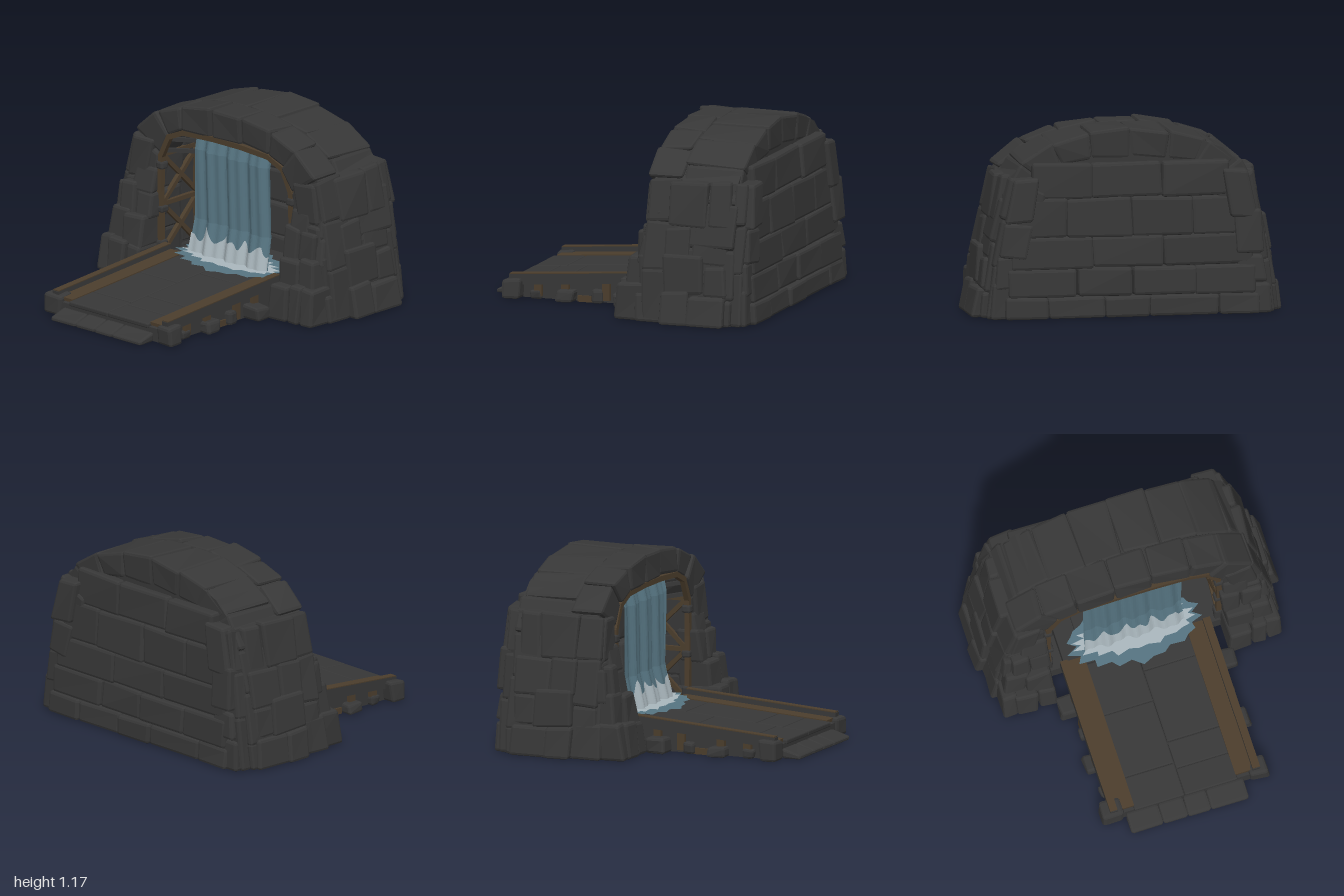
import * as THREE from 'three';
import { mergeGeometries } from 'three/addons/utils/BufferGeometryUtils.js';
import { RoundedBoxGeometry } from 'three/addons/geometries/RoundedBoxGeometry.js';

const material = (name, color) => Object.assign(new THREE.MeshStandardMaterial({ color }), { name });

export function createModel() {
  const model = new THREE.Group();
  const rock = material('dark rock', 0x373737);
  const wood = material('brown wood', 0x4b3d2c);
  const water = material('blue water', 0x557380);
  const foam = material('white foam', 0xa8b5bb);
  [water, foam].forEach(m => { m.side = THREE.DoubleSide; });

  let seed = 7;
  const rnd = (a = 0, b = 1) => {
    seed = (seed * 16807) % 2147483647;
    return a + (b - a) * seed / 2147483647;
  };
  const add = (name, geo, mat, parent = model) => {
    const mesh = new THREE.Mesh(geo, mat);
    mesh.name = name;
    parent.add(mesh);
    return mesh;
  };
  const box = (name, mat, x0, x1, y0, y1, z0, z1, parent) => {
    const geo = new THREE.BoxGeometry(x1 - x0, y1 - y0, z1 - z0);
    geo.translate((x0 + x1) / 2, (y0 + y1) / 2, (z0 + z1) / 2);
    return add(name, geo, mat, parent);
  };

  // A bevelled stone spanning eight slightly shaken corners, indexed x + 2y + 4z
  function stone(corners, shake = 0.012) {
    const c = corners.map(p => new THREE.Vector3(p[0] + rnd(-shake, shake),
      p[1] === 0 ? 0 : p[1] + rnd(-shake, shake), p[2] + rnd(-shake, shake)));
    const w = c[0].distanceTo(c[1]), h = c[0].distanceTo(c[2]), d = c[0].distanceTo(c[4]);
    const geo = new RoundedBoxGeometry(w, h, d, 1, Math.min(0.018, Math.min(w, h, d) * 0.25));
    const pos = geo.attributes.position, v = new THREE.Vector3();
    for (let i = 0; i < pos.count; i++) {
      const u = [pos.getX(i) / w + 0.5, pos.getY(i) / h + 0.5, pos.getZ(i) / d + 0.5];
      v.set(0, 0, 0);
      c.forEach((p, k) => v.addScaledVector(p,
        (k & 1 ? u[0] : 1 - u[0]) * (k & 2 ? u[1] : 1 - u[1]) * (k & 4 ? u[2] : 1 - u[2])));
      pos.setXYZ(i, v.x, v.y, v.z);
    }
    geo.computeVertexNormals();
    return geo;
  }
  // leanX and leanZ shift the top of the block
  const block = (x0, x1, y0, y1, z0, z1, shake, leanX = 0, leanZ = 0) => stone(
    [0, 1, 2, 3, 4, 5, 6, 7].map(k => [(k & 1 ? x1 : x0) + (k & 2 ? leanX : 0), k & 2 ? y1 : y0,
      (k & 4 ? z1 : z0) + (k & 2 ? leanZ : 0)]), shake);
  const stones = (name, list, parent) => add(name, mergeGeometries(list), rock, parent);

  // Arch section: pairs of inner and outer points from the right foot over to the left foot
  const half = [
    [0.57, 0, 0.94, 0], [0.575, 0.28, 0.9, 0.33], [0.575, 0.54, 0.85, 0.62], [0.565, 0.77, 0.785, 0.89],
    [0.49, 0.91, 0.6, 1.045], [0.36, 0.965, 0.38, 1.125], [0.12, 0.98, 0.13, 1.165]];
  const nodes = [...half, ...half.slice().reverse().map(([a, b, c, d]) => [-a, b, -c, d])];
  const last = nodes.length - 1;
  function section(t, across, narrow = 1) {
    const i = Math.min(Math.floor(t), last - 1), f = t - i;
    const n = nodes[i].map((q, k) => q + (nodes[i + 1][k] - q) * f);
    return [(n[0] + (n[2] - n[0]) * across) * narrow, n[1] + (n[3] - n[1]) * across];
  }
  const hexa = (t0, t1, a0, a1, z0, z1, narrow) => stone([0, 1, 2, 3, 4, 5, 6, 7].map(k =>
    [...section(k & 2 ? t1 : t0, k & 1 ? a1 : a0, narrow), k & 4 ? z1 : z0]));

  // Arch stones in three rows, front to back; the last row only on the legs
  const arch = [];
  const even = nodes.map((_, i) => i);
  const shifted = [0, ...even.slice(0, -1).map(i => i + 0.5), last];
  for (const [z0, z1, steps, narrow] of [
    [-0.44, -0.215, even, 1], [-0.81, -0.43, shifted, 1], [-0.87, -0.79, even, 0.97]]) {
    for (let i = 0; i < steps.length - 1; i++) {
      const low = steps[i] < 2.2 || steps[i] > last - 3.2;
      if (low) {
        const m = rnd(0.4, 0.6);
        arch.push(hexa(steps[i], steps[i + 1], 0, m, z0, z1, narrow));
        arch.push(hexa(steps[i], steps[i + 1], m, 1, z0, z1, narrow));
      } else if (z0 > -0.85)
        arch.push(hexa(steps[i], steps[i + 1], 0, 1, z0, z1 + rnd(-0.01, 0.01), narrow));
    }
  }
  stones('archStones', arch);

  // Solid core behind the stones, and the closed end of the tunnel
  const outline = even.map(t => new THREE.Vector2(...section(t, 0.88)));
  const inner = even.map(t => new THREE.Vector2(...section(t, 0.03))).reverse();
  const slab = (name, pts, z0, z1) => add(name,
    new THREE.ExtrudeGeometry(new THREE.Shape(pts), { depth: z1 - z0, bevelEnabled: false }).translate(0, 0, z0), rock);
  slab('archCore', [...outline, ...inner], -0.79, -0.25);
  slab('tunnelEnd', outline, -0.8, -0.62);
  box('tunnelFloor', rock, -0.6, 0.6, 0, 0.1, -0.82, -0.2);

  // Rough stones on the tunnel end
  const end = [];
  for (let r = 0; r < 4; r++) for (let i = 0; i < 4; i++) {
    const x = -0.54 + i * 0.27;
    end.push(block(x, x + 0.27, 0.1 + r * 0.21, 0.31 + r * 0.21, -0.66, -0.6 + rnd(0, 0.06)));
  }
  stones('tunnelEndStones', end);

  // Stacked stones around the feet: stepped at the front, bulging at the side
  const feet = [];
  for (const s of [1, -1]) {
    const mirrored = (a, b, y0, y1, z0, z1, leanX, leanZ) => feet.push(
      block(Math.min(s * a, s * b), Math.max(s * a, s * b), y0, y1, z0, z1, 0.012, -s * leanX, leanZ));
    const fronts = [[0, 0.21, -0.005], [0.21, 0.38, -0.07], [0.38, 0.54, -0.13], [0.54, 0.69, -0.175]];
    fronts.forEach(([y0, y1, z], r) => {
      const edges = r % 2 ? [0.57, 0.74, 0.9 - r * 0.02]
        : [0.56, 0.69 + rnd(-0.03, 0.03), 0.8 + rnd(-0.02, 0.02), 0.915 - r * 0.02];
      for (let i = 0; i < edges.length - 1; i++) {
        const outer = i === edges.length - 2;
        mirrored(edges[i], edges[i + 1], y0 && y0 - 0.02, y1 + rnd(-0.02, 0.03), -0.3,
          z - (outer ? 0.03 : 0) + rnd(-0.012, 0.012), outer ? 0.02 : 0, -0.025);
      }
    });
    const bulge = [0.895, 0.98, 0.99, 0.945];
    [[0, 0.21, 0, 0.03], [0.21, 0.4, 0.05, 0.02], [0.4, 0.62, 0.085, 0.035], [0.62, 0.88, 0.13, 0.05]].forEach(([y0, y1, inset, lean], r) => {
      const cuts = [-0.91, -0.77, r % 2 ? -0.62 : -0.53, -0.36, -0.17 - r * 0.012];
      for (let i = 0; i < 4; i++) {
        const out = bulge[i] - inset * (i ? 1 : 0.75) + rnd(-0.01, 0.01);
        mirrored(out - 0.17, out, y0 && y0 - 0.02, y1 + rnd(-0.04, 0.03), cuts[i], cuts[i + 1], lean, i ? 0 : 0.015);
      }
    });
  }
  stones('footStones', feet);

  // Masonry on the back, leaning inward as it rises
  const back = [];
  const rows = [[0, 0.13, 0.8, 5], [0.13, 0.31, 0.78, 4], [0.31, 0.5, 0.76, 3], [0.5, 0.74, 0.72, 4], [0.74, 0.96, 0.62, 3]];
  rows.forEach(([y0, y1, w, n], r) => {
    let x = -w;
    for (let i = 0; i < n; i++) {
      const nx = i === n - 1 ? w : -w + (2 * w * (i + 1)) / n + rnd(-0.07, 0.07);
      back.push(block(x, nx, y0, y1, -0.935 + r * 0.016 + rnd(-0.008, 0.008), -0.77, 0.008, 0, 0.012));
      x = nx;
    }
  });
  stones('backWall', back);

  // Timber frames lining the tunnel, with crossed braces between them
  const frame = new THREE.Group();
  frame.name = 'timberFrame';
  model.add(frame);
  function beam(a, b, w = 0.033, mat = wood) {
    const p = new THREE.Vector3(...a), q = new THREE.Vector3(...b);
    const mesh = add('beam', new THREE.BoxGeometry(w, w, p.distanceTo(q) + w * 0.5), mat, frame);
    mesh.position.copy(p).lerp(q, 0.5);
    mesh.lookAt(q);
  }
  const framePath = [0.75, ...even.slice(1, -1), last - 0.75];
  for (const z of [-0.235, -0.56]) framePath.slice(1).forEach((t, i) =>
    beam([...section(framePath[i], -0.06), z], [...section(t, -0.06), z]));
  for (const s of [1, -1]) {
    for (const y of [0.14, 0.46]) {
      beam([s * 0.555, y, -0.25], [s * 0.555, y + 0.3, -0.56], 0.028);
      beam([s * 0.555, y + 0.3, -0.25], [s * 0.555, y, -0.56], 0.028);
      beam([s * 0.555, y + 0.31, -0.25], [s * 0.555, y + 0.31, -0.56], 0.028);
    }
    // Dark struts fanning into the upper corners
    for (const [x, y] of [[0.53, 0.8], [0.48, 0.88], [0.4, 0.93]])
      beam([s * x, y, -0.26], [s * (x - 0.13), y - 0.06, -0.58], 0.025, rock);
    // Stone clasps and foot blocks on the posts
    for (const [y, h] of [[0.1, 0.12], [0.4, 0.04], [0.68, 0.05]])
      stones('clasp', [block(s * 0.555 - 0.03, s * 0.555 + 0.03, y, y + h, -0.27, -0.21, 0.004)]);
  }

  // Falling water: pleated sheets, the foam with a ragged upper edge
  function sheet(name, mat, topAt, forward) {
    const geo = new THREE.PlaneGeometry(0.64, 1, 64, 10);
    const pos = geo.attributes.position;
    for (let i = 0; i < pos.count; i++) {
      const x = pos.getX(i) + 0.01, v = pos.getY(i) + 0.5;
      const y = 0.18 + v * (topAt(x) - 0.18), low = Math.max(0, 0.4 - y) * 0.22;
      const fold = 0.011 * Math.sin(x * 33 + y) + 0.007 * Math.sin(x * 71 + y * 3);
      const curl = Math.max(0, y - 0.86) * 0.25;
      pos.setXYZ(i, x * (1 + low * 0.5), y, -0.275 + fold + low - curl + forward);
    }
    const flat = geo.toNonIndexed();
    flat.computeVertexNormals();
    add(name, flat, mat);
  }
  const peak = x => Math.abs(((x * 6.5 + 100.2) % 1) - 0.5) * 2;
  sheet('waterfall', water, () => 0.925, 0);
  sheet('fallingFoam', foam, x => 0.295 + 0.07 * peak(x) ** 3 + 0.03 * Math.sin(x * 47) * Math.sin(x * 13 + 1), 0.008);

  // Sloping ramp
  const ramp = new THREE.Group();
  ramp.name = 'ramp';
  ramp.position.y = 0.17;
  ramp.rotation.x = 0.073;
  model.add(ramp);
  const body = new THREE.BoxGeometry(0.92, 1, 1.45);
  const bp = body.attributes.position;
  for (let i = 0; i < bp.count; i++) {
    const z = bp.getZ(i) + 0.1;
    bp.setXYZ(i, bp.getX(i), bp.getY(i) < 0 ? 0.004 : 0.15 - 0.073 * z, z);
  }
  add('rampBody', body, rock);

  const slabs = [];
  for (const [x0, x1, cuts] of [[-0.335, -0.009, [-0.6, -0.15, 0.2, 0.62, 0.84]], [-0.007, 0.335, [-0.6, 0, 0.48, 0.66, 0.84]]])
    for (let i = 0; i < 4; i++) slabs.push(block(x0, x1, -0.03, 0.001, cuts[i] + 0.001, cuts[i + 1] - 0.001, 0.001));
  stones('rampSlabs', slabs, ramp);
  for (const s of [1, -1]) {
    const span = (a, b) => [Math.min(s * a, s * b), Math.max(s * a, s * b)];
    box('sidePlank', wood, ...span(0.33, 0.445), -0.015, 0.006, -0.2, 0.81, ramp);
    box('railBeam', rock, ...span(0.44, 0.488), -0.03, 0.036, -0.2, 0.82, ramp);
    box('railCap', wood, ...span(0.44, 0.488), 0.036, 0.042, -0.2, 0.815, ramp);
    box('undersidePlank', wood, ...span(0.34, 0.43), 0, 0.005, -0.1, 0.8);
    // Wooden posts and stone footings under the rail
    for (const z of [0.02, 0.18, 0.45, 0.63])
      box('rampPost', wood, ...span(0.43, 0.486), 0.02, 0.15 - 0.073 * z, z - 0.025, z + 0.025);
    box('sideBoard', wood, ...span(0.43, 0.472), 0, 0.04, 0.23, 0.37);
    const footings = [];
    for (const [z, d, h, out] of [[0.04, 0.13, 0.09, 0.58], [0.24, 0.07, 0.08, 0.51], [0.44, 0.11, 0.07, 0.54], [0.64, 0.07, 0.06, 0.5], [0.79, 0.12, 0.125, 0.545]])
      footings.push(block(s * (out - 0.07) - 0.065, s * (out - 0.07) + 0.065, 0, h, z - d / 2, z + d / 2));
    stones('rampFootings', footings);
  }
  // Low wedge of stones at the foot of the ramp
  const stepEdges = [-0.39, -0.18, -0.02, 0.13, 0.375];
  stones('frontStep', stepEdges.slice(1).map((x, i) => stone([0, 1, 2, 3, 4, 5, 6, 7].map(k =>
    [k & 1 ? x : stepEdges[i], k & 2 ? (k & 4 ? 0.025 : 0.065) : 0, k & 4 ? 0.945 : 0.82]), 0.002)));

  // Splash pool spreading over the top of the ramp
  function splash(name, mat, rx, rz, y) {
    const pts = Array.from({ length: 36 }, (_, i) => {
      const a = i / 36 * Math.PI * 2, k = 1 + (i % 2 ? 0.07 : -0.07) + rnd(-0.08, 0.08);
      return new THREE.Vector2(Math.cos(a) * rx * Math.min(k, 1.06), Math.sin(a) * rz * k);
    });
    add(name, new THREE.ShapeGeometry(new THREE.Shape(pts)).rotateX(-Math.PI / 2).translate(0.01, y, -0.27), mat, ramp);
  }
  splash('splashPool', water, 0.42, 0.205, 0.009);
  splash('splashFoam', foam, 0.38, 0.125, 0.014);

  return model;
}
